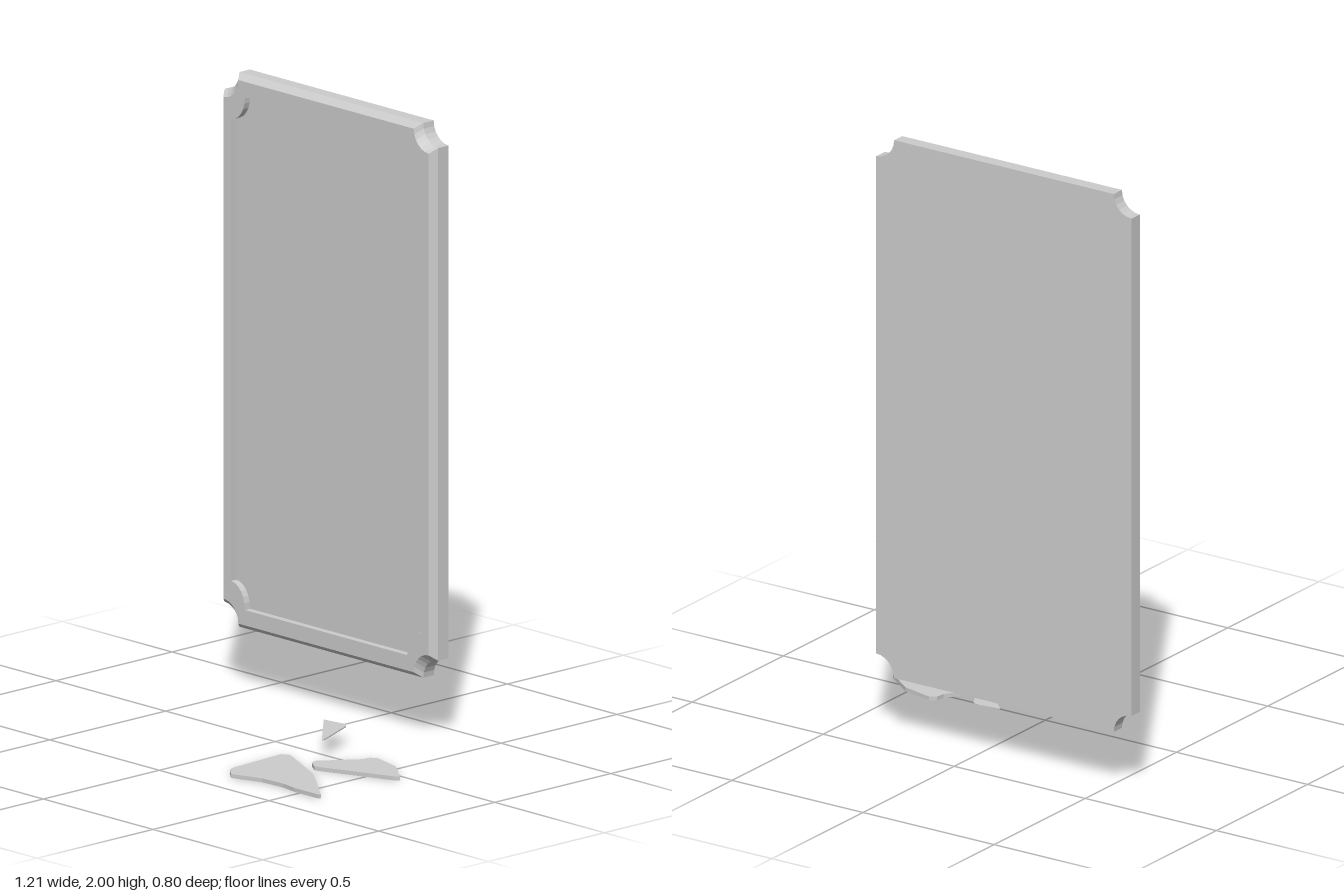
import * as THREE from 'three';

const material = new THREE.MeshStandardMaterial({ color: 0xcccccc, flatShading: true });

// Rectangle with concave corners (notch rx by ry), counter-clockwise from the front
function outline(hx, hy, rx, ry, steps = 6) {
  const pts = [];
  [[1, 1], [-1, 1], [-1, -1], [1, -1]].forEach(([sx, sy]) => {
    for (let i = 0; i <= steps; i++) {
      const t = sx * sy > 0 ? i / steps : 1 - i / steps;
      const a = t * Math.PI / 2;
      pts.push(new THREE.Vector2(sx * (hx - rx * Math.sin(a)), sy * (hy - ry * Math.cos(a))));
    }
  });
  return pts;
}

// Skin between successive loops of equal length
function loft(rings) {
  const n = rings[0].pts.length, pos = [], index = [];
  rings.forEach(({ pts, z }) => pts.forEach(p => pos.push(p.x, p.y, z)));
  for (let r = 0; r < rings.length - 1; r++) {
    for (let i = 0; i < n; i++) {
      const j = (i + 1) % n, a = r * n + i, b = r * n + j;
      index.push(a, b, b + n, a, b + n, a + n);
    }
  }
  const g = new THREE.BufferGeometry();
  g.setAttribute('position', new THREE.Float32BufferAttribute(pos, 3));
  g.setIndex(index);
  g.computeVertexNormals();
  return g;
}

function add(parent, name, geometry) {
  const mesh = new THREE.Mesh(geometry, material);
  mesh.name = name;
  parent.add(mesh);
  return mesh;
}

// Flat piece lying on the ground, outline given as [x, z]
function shard(points, y, thickness) {
  const shape = new THREE.Shape(points.map(([x, z]) => new THREE.Vector2(x, -z)));
  return new THREE.ExtrudeGeometry(shape, { depth: thickness, bevelEnabled: false })
    .rotateX(-Math.PI / 2).translate(0, y, 0);
}

export function createModel() {
  const model = new THREE.Group();
  model.name = 'brokenMirror';

  const mirror = new THREE.Group();
  mirror.name = 'mirror';
  mirror.position.set(-0.12, 1.1, 0);
  model.add(mirror);

  const outer = outline(0.487, 0.9, 0.068, 0.068);
  const front = outline(0.468, 0.882, 0.068, 0.068);
  const inner = outline(0.433, 0.832, 0.063, 0.082);

  // Frame: sides, bevel, front face and inner wall
  add(mirror, 'frame', loft([
    { pts: outer, z: -0.4 }, { pts: outer, z: -0.355 }, { pts: front, z: -0.332 },
    { pts: inner, z: -0.332 }, { pts: inner, z: -0.355 },
  ]));
  // Recessed glass and back board
  add(mirror, 'glass', new THREE.ShapeGeometry(new THREE.Shape(inner)).translate(0, 0, -0.355));
  add(mirror, 'back', new THREE.ShapeGeometry(new THREE.Shape(outer)).rotateY(Math.PI).translate(0, 0, -0.4));

  // Fallen pieces of glass
  add(model, 'smallShard', shard([
    [0.08, -0.133], [0.16, -0.143], [0.175, -0.14], [0.185, -0.13], [0.255, 0.032], [0.25, 0.036],
  ], 0.059, 0.004));
  add(model, 'middleShard', shard([
    [0.285, 0.104], [0.375, -0.02], [0.378, -0.05], [0.4, -0.064], [0.508, -0.038],
    [0.607, 0.036], [0.59, 0.05], [0.335, 0.148], [0.3, 0.125],
  ], 0, 0.013));
  add(model, 'largeShard', shard([
    [0.156, 0.124], [0.182, 0.108], [0.398, 0.212], [0.59, 0.362], [0.588, 0.37], [0.479, 0.37],
    [0.417, 0.36], [0.326, 0.365], [0.221, 0.4], [0.179, 0.365], [0.17, 0.342],
  ], 0, 0.013));

  return model;
}
